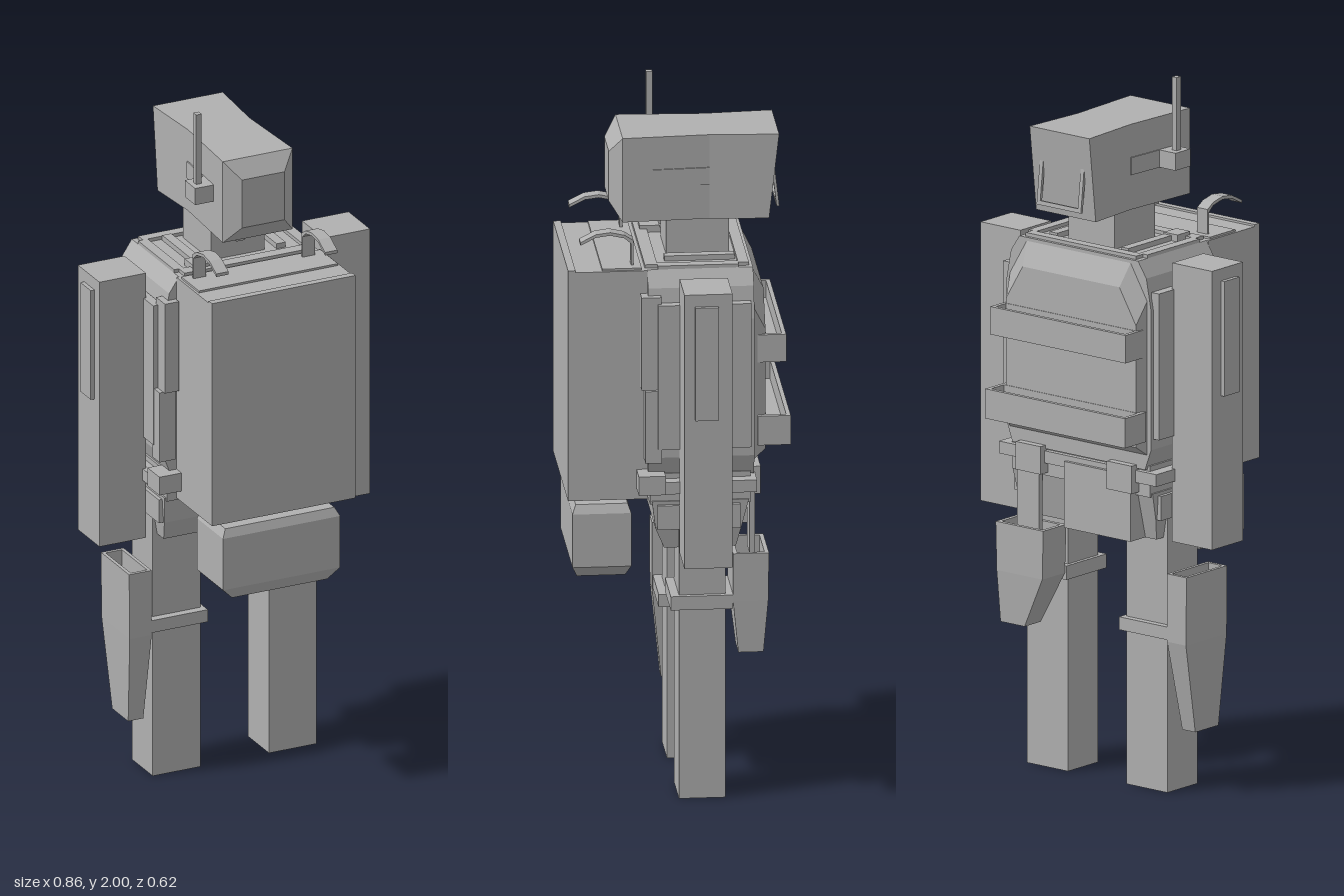
import * as THREE from 'three';

const grey = new THREE.MeshStandardMaterial({ color: 0xb0b0b0 });
grey.name = 'plain grey';

// Mesh through equal-length loops of [x,y,z], capped at both ends, flat faces
function loft(name, loops) {
  const pos = [];
  const tri = (a, b, c) => pos.push(...a, ...b, ...c);
  const n = loops[0].length;
  for (let s = 0; s + 1 < loops.length; s++) {
    const a = loops[s], b = loops[s + 1];
    for (let i = 0; i < n; i++) {
      const j = (i + 1) % n;
      tri(a[i], a[j], b[j]);
      tri(a[i], b[j], b[i]);
    }
  }
  const first = loops[0], last = loops[loops.length - 1];
  for (let i = 1; i + 1 < n; i++) {
    tri(first[0], first[i + 1], first[i]);
    tri(last[0], last[i], last[i + 1]);
  }
  const g = new THREE.BufferGeometry();
  g.setAttribute('position', new THREE.Float32BufferAttribute(pos, 3));
  g.computeVertexNormals();
  const m = new THREE.Mesh(g, grey);
  m.name = name;
  return m;
}

// Rectangle lying level at height y, and rectangle standing at depth z
const level = (y, x0, x1, z0, z1) => [[x0, y, z1], [x1, y, z1], [x1, y, z0], [x0, y, z0]];
const upright = (z, x0, x1, y0, y1) => [[x0, y0, z], [x1, y0, z], [x1, y1, z], [x0, y1, z]];

function box(name, x0, x1, y0, y1, z0, z1) {
  const m = new THREE.Mesh(new THREE.BoxGeometry(x1 - x0, y1 - y0, z1 - z0), grey);
  m.position.set((x0 + x1) / 2, (y0 + y1) / 2, (z0 + z1) / 2);
  m.name = name;
  return m;
}

// Outline extruded along z from z0 to z1
function slab(name, pts, z0, z1) {
  const shape = new THREE.Shape(pts.map(p => new THREE.Vector2(p[0], p[1])));
  const g = new THREE.ExtrudeGeometry(shape, { depth: z1 - z0, bevelEnabled: false });
  const m = new THREE.Mesh(g, grey);
  m.position.z = z0;
  m.name = name;
  return m;
}
const mirrored = half => [...half, ...half.slice().reverse().map(([x, y]) => [-x, y])];

// Raised frame on a face looking along z
function frameZ(name, x0, x1, y0, y1, z0, z1, t) {
  const g = new THREE.Group();
  g.name = name;
  g.add(box('frameBottom', x0, x1, y0, y0 + t, z0, z1), box('frameTop', x0, x1, y1 - t, y1, z0, z1),
    box('frameLeft', x0, x0 + t, y0 + t, y1 - t, z0, z1), box('frameRight', x1 - t, x1, y0 + t, y1 - t, z0, z1));
  return g;
}

function makeHead() {
  const head = new THREE.Group();
  head.name = 'head';
  const rear = upright(-0.265, -0.108, 0.108, 1.64, 1.885);
  rear[2][2] = rear[3][2] = -0.293;
  head.add(loft('headShell', [rear,
    upright(-0.1, -0.095, 0.095, 1.64, 1.885),
    upright(0.143, -0.108, 0.108, 1.64, 1.885),
    upright(0.178, -0.066, 0.066, 1.69, 1.835)]));
  // Framed rear screen, tilted with the rear face
  const screen = frameZ('rearScreenFrame', -0.08, 0.08, -0.1, 0.1, -0.004, 0.004, 0.012);
  screen.position.set(0, 1.765, -0.281);
  screen.rotation.x = 0.114;
  head.add(screen);
  for (const s of [-1, 1]) {
    const p = box('sidePanel', -0.004, 0.004, 1.74, 1.79, -0.08, 0.08);
    p.position.set(s * 0.099, 1.765, -0.02);
    p.rotation.y = s * 0.05;
    head.add(p);
  }
  head.add(box('antennaBase', -0.162, -0.1, 1.74, 1.79, 0.015, 0.08),
    box('antenna', -0.147, -0.13, 1.79, 2, 0.038, 0.056),
    box('chinSensor', -0.04, -0.015, 1.61, 1.64, 0.06, 0.09),
    box('neck', -0.083, 0.083, 1.53, 1.64, -0.155, 0.02));
  return head;
}

function makeTorso() {
  const torso = new THREE.Group();
  torso.name = 'torso';
  torso.add(slab('chest', mirrored([[0.24, 0.94], [0.262, 1.0], [0.262, 1.4], [0.245, 1.49], [0.215, 1.535]]), -0.21, 0.085));
  // Upper back plate with clipped shoulders
  const back = (z, w, y0, y1) => mirrored([[w, y0], [w, y1 - 0.1], [w - 0.06, y1]]).map(([x, y]) => [x, y, z]);
  torso.add(loft('backPlate', [back(-0.243, 0.235, 1.01, 1.46), back(-0.205, 0.25, 0.98, 1.535)]));
  // Collar rails and shoulder strips
  torso.add(box('collarRear', -0.2, 0.2, 1.53, 1.545, -0.2, -0.17), box('collarFront', -0.2, 0.2, 1.53, 1.545, 0.055, 0.09));
  for (const s of [-1, 1]) {
    const span = (name, a, b, ...r) => torso.add(box(name, Math.min(s * a, s * b), Math.max(s * a, s * b), ...r));
    span('shoulderRail', 0.185, 0.215, 1.53, 1.545, -0.17, 0.055);
    span('shoulderStrip', 0.115, 0.143, 1.53, 1.55, -0.165, 0.03);
    span('sidePlate', 0.255, 0.282, 1.03, 1.45, -0.2, 0.06);
    span('frontStrap', 0.225, 0.268, 1.2, 1.47, 0.05, 0.105);
    span('frontStrapLower', 0.23, 0.28, 0.99, 1.2, 0.05, 0.095);
    span('beltPouch', 0.2, 0.29, 0.9, 0.955, 0.04, 0.115);
    span('hipPad', 0.2, 0.265, 0.79, 0.86, -0.17, 0.06);
    span('rearBeltPouch', 0.12, 0.21, 0.87, 0.95, -0.232, -0.19);
  }
  torso.add(box('shoulderButton', -0.165, -0.115, 1.53, 1.555, 0.02, 0.075));
  // Stepped waist and pelvis
  torso.add(box('waist', -0.25, 0.25, 0.86, 0.95, -0.2, 0.08),
    box('belt', -0.285, 0.285, 0.9, 0.935, -0.215, 0.09),
    loft('pelvis', [level(0.73, -0.24, 0.24, -0.16, 0.04), level(0.79, -0.25, 0.25, -0.175, 0.065),
      level(0.87, -0.255, 0.255, -0.195, 0.075)]),
    box('rearFlap', -0.2, 0.04, 0.73, 0.92, -0.225, -0.16));
  // Open troughs across the back
  for (const [y0, y1, z, w] of [[1.265, 1.345, -0.3, 0.245], [1.025, 1.11, -0.312, 0.253]]) {
    torso.add(loft('backTrough', [level(y0, -w, w, z, -0.22), level(y1, -w, w, z, -0.22),
      level(y1, -w + 0.012, w - 0.012, z + 0.012, -0.245),
      level(y0 + 0.03, -w + 0.012, w - 0.012, z + 0.012, -0.245)]));
  }
  return torso;
}

function makeFrontPack() {
  const pack = new THREE.Group();
  pack.name = 'frontPack';
  pack.add(box('packBody', -0.222, 0.222, 0.868, 1.535, 0.085, 0.306),
    box('packLid', -0.215, 0.215, 1.535, 1.541, 0.1, 0.21),
    box('packRim', -0.222, 0.222, 1.535, 1.541, 0.285, 0.306));
  // Curved strip hooks on the pack top
  const path = [[0.12, 1.53], [0.12, 1.612], [0.145, 1.628], [0.185, 1.637], [0.225, 1.632], [0.268, 1.61]];
  const under = path.map(([z, y], i) => [z + (i < 2 ? 0.007 : 0), y - (i ? 0.009 : 0)]).reverse();
  for (const x of [-0.19, 0.147]) {
    const hook = slab('hook', [...path, ...under].map(([z, y]) => [-z, y]), 0, 0.038);
    hook.rotation.y = Math.PI / 2;
    hook.position.set(x, 0, 0);
    pack.add(hook);
  }
  // Hanging pouch with bevelled underside
  pack.add(loft('hangingPouch', [level(0.625, -0.145, 0.15, 0.14, 0.275), level(0.66, -0.18, 0.183, 0.126, 0.29),
    level(0.815, -0.18, 0.183, 0.126, 0.29), level(0.84, -0.168, 0.17, 0.135, 0.28)]));
  for (const x of [-0.06, 0.06]) pack.add(box('pouchLink', x - 0.01, x + 0.01, 0.835, 0.87, 0.195, 0.215));
  return pack;
}

function makeLimbs() {
  const limbs = new THREE.Group();
  limbs.name = 'limbs';
  for (const s of [-1, 1]) {
    const side = s > 0 ? 'left' : 'right';
    const leg = box(side + 'Leg', -0.074, 0.074, 0, 0.8, -0.13, 0);
    leg.position.x = s * 0.18;
    const arm = box(side + 'Arm', -0.072, 0.072, 0.725, 1.525, -0.134, 0);
    arm.position.x = s * 0.347;
    const plate = box(side + 'ArmPlate', -0.007, 0.007, 1.16, 1.49, -0.095, -0.03);
    plate.position.x = s * 0.424;
    const palm = box(side + 'ArmEnd', -0.05, 0.05, 0.72, 0.726, -0.11, -0.024);
    palm.position.x = s * 0.347;
    limbs.add(leg, arm, plate, palm);
  }
  // Thigh bands
  limbs.add(box('leftBand', 0.095, 0.268, 0.555, 0.595, -0.15, 0.024),
    box('rightBand', -0.275, -0.095, 0.445, 0.482, -0.15, 0.024));
  // Open holster on the right thigh
  limbs.add(loft('rightHolster', [level(0.18, -0.33, -0.283, -0.1, 0), level(0.44, -0.338, -0.27, -0.15, 0.026),
    level(0.635, -0.34, -0.27, -0.15, 0.026), level(0.635, -0.33, -0.28, -0.14, 0.016),
    level(0.56, -0.33, -0.28, -0.14, 0.016)]));
  // Open pouch behind the left thigh
  limbs.add(loft('leftRearPouch', [level(0.425, 0.175, 0.262, -0.235, -0.165), level(0.575, 0.1, 0.265, -0.248, -0.15),
    level(0.715, 0.095, 0.267, -0.25, -0.15), level(0.715, 0.107, 0.255, -0.238, -0.162),
    level(0.66, 0.107, 0.255, -0.238, -0.162)]),
    box('pouchHanger', 0.14, 0.22, 0.7, 0.9, -0.215, -0.2));
  return limbs;
}

export function createModel() {
  const model = new THREE.Group();
  model.name = 'packRobot';
  model.add(makeHead(), makeTorso(), makeFrontPack(), makeLimbs());
  return model;
}
